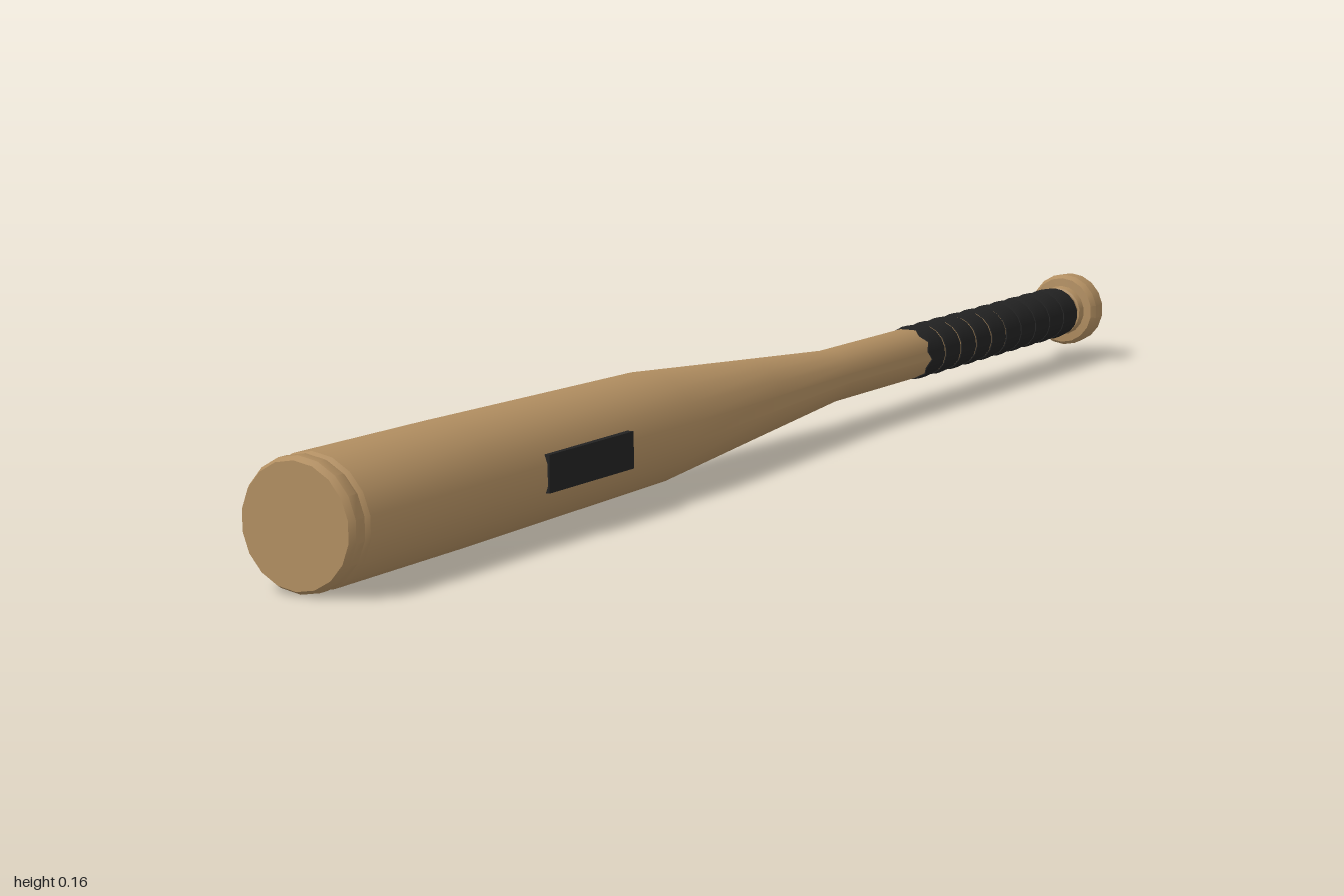
import * as THREE from 'three';
import { toCreasedNormals } from 'three/addons/utils/BufferGeometryUtils.js';

const AXIS_Y = 0.078; // height of the bat's long axis
const SIDES = 18;

// Turn a profile of [z, radius] pairs, listed from back to front, about the z axis
function turned(profile) {
  const points = profile.map(([z, r]) => new THREE.Vector2(r, z));
  const geometry = new THREE.LatheGeometry(points, SIDES);
  geometry.rotateX(Math.PI / 2);
  return toCreasedNormals(geometry, 0.5);
}

export function createModel() {
  const wood = new THREE.MeshStandardMaterial({ color: 0xb08d60 });
  wood.name = 'wood';
  const tape = new THREE.MeshStandardMaterial({ color: 0x222222, side: THREE.DoubleSide });
  tape.name = 'blackTape';

  const bat = new THREE.Group();
  bat.name = 'bat';
  const add = (name, geometry, material) => {
    const mesh = new THREE.Mesh(geometry, material);
    mesh.name = name;
    mesh.position.y = AXIS_Y;
    bat.add(mesh);
    return mesh;
  };

  // Handle, taper and barrel, with a shallow groove before the end cap
  add('body', turned([
    [-0.96, 0.033], [-0.935, 0.033], [-0.925, 0.0365], [-0.2, 0.0365],
    [0.02, 0.053], [0.27, 0.072], [0.5, 0.0745], [0.72, 0.077],
    [0.966, 0.078], [0.972, 0.0745], [0.978, 0.0775],
    [0.992, 0.0775], [1, 0.073], [1, 0],
  ]), wood);

  // Knob with bevelled rims and a small collar
  add('knob', turned([
    [-1, 0], [-1, 0.046], [-0.992, 0.054], [-0.967, 0.055],
    [-0.958, 0.05], [-0.957, 0.038], [-0.946, 0.036], [-0.944, 0.03],
  ]), wood);

  // Overlapping, slightly tilted turns of grip tape; slivers of wood show near the front
  const grip = new THREE.Group();
  grip.name = 'gripTape';
  grip.position.y = AXIS_Y;
  bat.add(grip);
  const turns = 10, pitch = 0.05;
  for (let i = 0; i < turns; i++) {
    const half = pitch / 2 - (i > 4 ? 0.002 : 0.0008);
    const geometry = turned([
      [-half, 0.0355], [-half, 0.0375], [-0.008, 0.0388],
      [0.01, 0.0392], [half, 0.038], [half, 0.0355],
    ]);
    const p = geometry.attributes.position;
    for (let k = 0; k < p.count; k++) {
      const x = p.getX(k), y = p.getY(k), z = p.getZ(k);
      let dz = y * 0.12;
      // Ragged torn edge on the foremost turn
      if (i === turns - 1 && z > 0.02) dz += 0.006 * Math.sin(9 * Math.atan2(y, x));
      p.setZ(k, z + dz);
    }
    const turn = new THREE.Mesh(geometry, tape);
    turn.name = 'tapeTurn' + (i + 1);
    turn.position.z = -0.935 + pitch * (i + 0.5);
    grip.add(turn);
  }

  // Dark plate on the left side of the barrel
  const plate = add('sidePlate', new THREE.BoxGeometry(0.009, 0.046, 0.186), tape);
  plate.position.set(0.0727, 0.08, 0.521);

  return bat;
}
